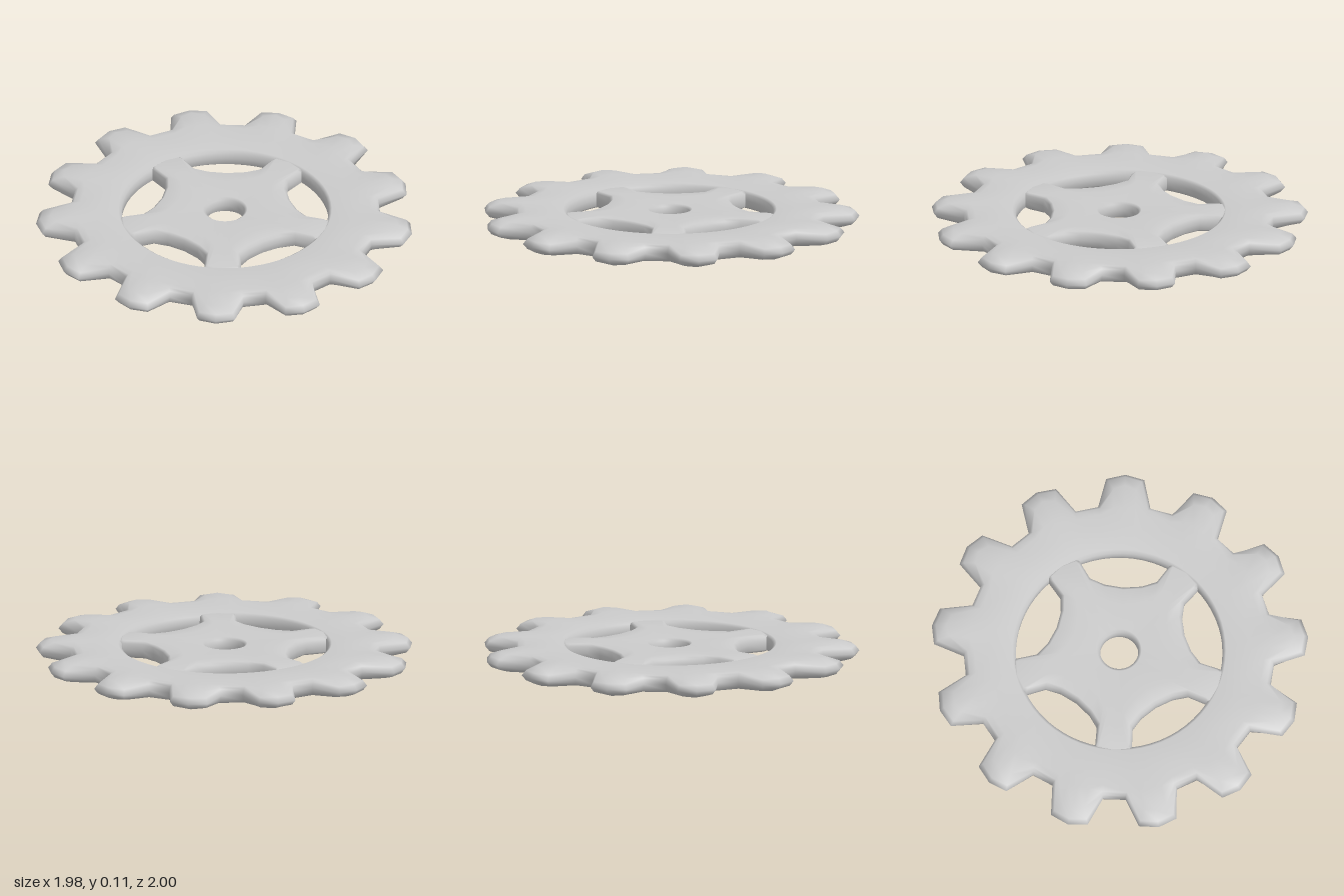
import * as THREE from 'three';

const material = new THREE.MeshStandardMaterial({ color: 0xcccccc });
const DEG = Math.PI / 180;

// A ring is half of one repeated sector: [degrees from sector centre, radius, height].
const evenRing = (angles, r, h) => angles.map((a) => [a, r, h]);

// Mirror the half sector, then repeat it all the way round.
function fullRing(half, count, startDeg) {
  const step = 360 / count;
  const shared = Math.abs(half[half.length - 1][0] - step / 2) < 0.001;
  const mirrored = half.slice(1, shared ? -1 : undefined).reverse().map(([a, r, h]) => [-a, r, h]);
  const points = [];
  for (let s = 0; s < count; s++) {
    for (const [a, r, h] of [...mirrored, ...half]) {
      const t = (startDeg + s * step + a) * DEG;
      points.push([r * Math.cos(t), h, -r * Math.sin(t)]);
    }
  }
  return points;
}

// Skin the rings from the inner wall over the top to the outer wall and back underneath.
function ringSolid(name, topRings, count, startDeg) {
  const under = topRings.slice(1, -1).reverse().map((ring) => ring.map(([a, r, h]) => [a, r, -h]));
  const rings = [...topRings, ...under].map((ring) => fullRing(ring, count, startDeg));
  const n = rings[0].length;
  const m = rings.length;
  const index = [];
  for (let j = 0; j < m; j++) {
    for (let i = 0; i < n; i++) {
      const a = j * n + i;
      const b = ((j + 1) % m) * n + i;
      const c = ((j + 1) % m) * n + (i + 1) % n;
      const d = j * n + (i + 1) % n;
      index.push(a, b, c, a, c, d);
    }
  }
  const geometry = new THREE.BufferGeometry();
  geometry.setAttribute('position', new THREE.Float32BufferAttribute(rings.flat(2), 3));
  geometry.setIndex(index);
  geometry.computeVertexNormals();
  const mesh = new THREE.Mesh(geometry, material);
  mesh.name = name;
  return mesh;
}

export function createModel() {
  const group = new THREE.Group();
  group.name = 'gear';

  // Rim with thirteen domed teeth
  const rimAngles = [0, 5.54, 11.08];
  const rim = ringSolid('toothedRim', [
    evenRing(rimAngles, 0.548, 0),
    evenRing(rimAngles, 0.55, 0.034),
    evenRing(rimAngles, 0.567, 0.047),
    evenRing(rimAngles, 0.69, 0.049),
    [[0, 0.8, 0.055], [4.2, 0.8, 0.052], [9.2, 0.77, 0.048]],
    [[0, 0.93, 0.049], [3.8, 0.91, 0.046], [9, 0.806, 0.045]],
    [[0, 0.985, 0.028], [5.3, 0.965, 0.027], [9.5, 0.82, 0.032]],
    [[0, 1.007, 0], [5.9, 0.985, 0], [9.8, 0.825, 0]],
  ], 13, 0);

  // Five-armed centre with a round axle hole
  const hubAngles = [0, 7.2, 14.4, 21.6, 28.8, 36];
  const spider = ringSolid('fiveArmHub', [
    evenRing(hubAngles, 0.1, 0),
    evenRing(hubAngles, 0.103, 0.034),
    evenRing(hubAngles, 0.118, 0.046),
    [[0, 0.42, 0.048], [5, 0.4, 0.048], [7, 0.36, 0.048], [12, 0.32, 0.048], [22, 0.28, 0.048], [36, 0.26, 0.048]],
    [[0, 0.56, 0.046], [8, 0.55, 0.046], [9, 0.53, 0.046], [10.5, 0.425, 0.046], [20.2, 0.367, 0.046], [36, 0.342, 0.046]],
    [[0, 0.577, 0.034], [9.6, 0.565, 0.034], [10.1, 0.543, 0.034], [12, 0.437, 0.034], [20.8, 0.382, 0.034], [36, 0.357, 0.034]],
    [[0, 0.585, 0], [10, 0.575, 0], [10.4, 0.545, 0], [12.5, 0.44, 0], [21, 0.385, 0], [36, 0.36, 0]],
  ], 5, 90);

  group.add(rim, spider);
  for (const part of group.children) part.position.set(-0.015, 0.055, 0);
  return group;
}
